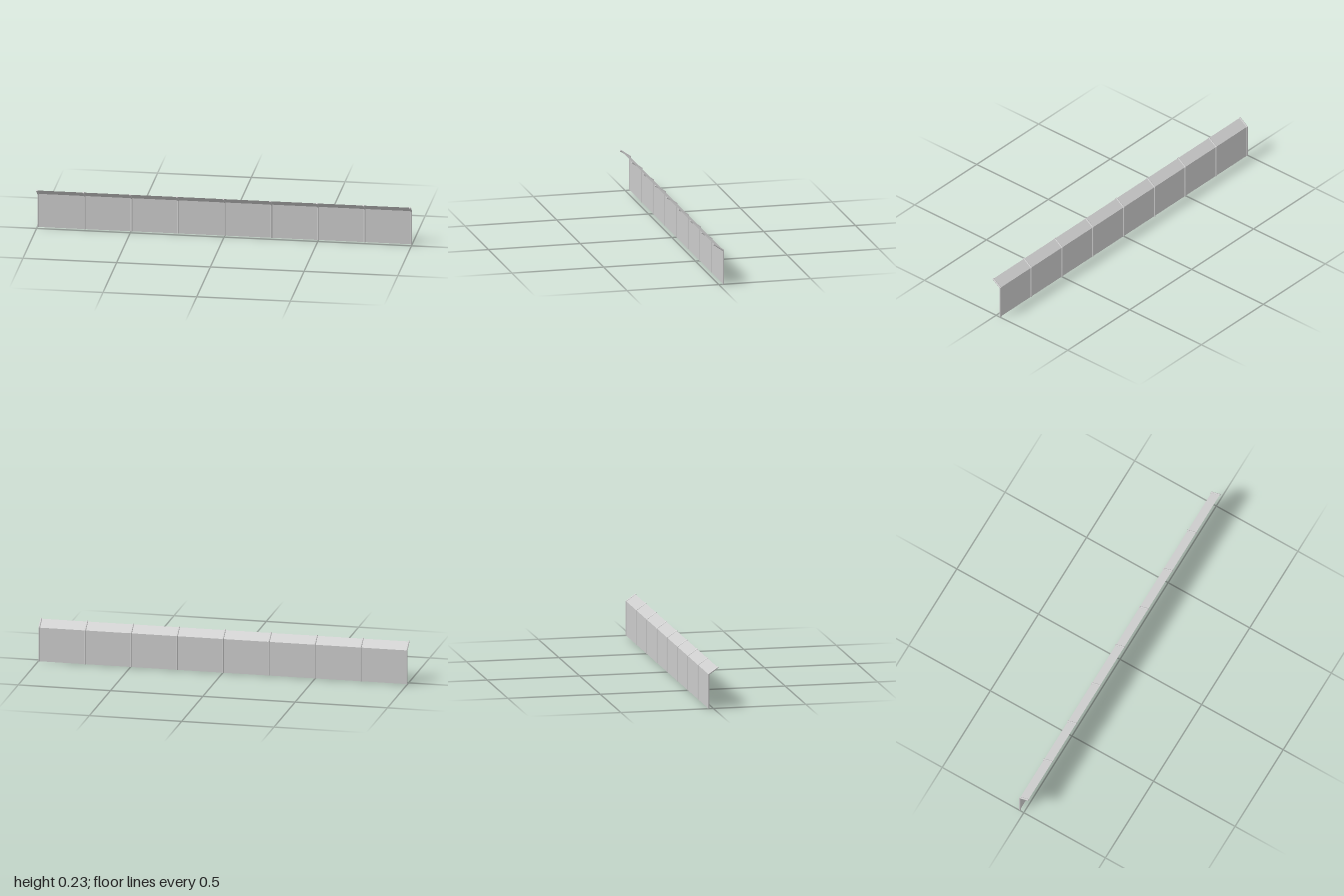
import * as THREE from 'three';
import { toCreasedNormals } from 'three/addons/utils/BufferGeometryUtils.js';

const RADIUS = 0.0048;
const HALF = 1 - RADIUS;
const BAYS = 8;

// Bent side profile: foot, mitred bend, tip. nz/ny is the sideways direction at each station.
const STATIONS = [
  { z: -0.0255, y: 0, nz: 1, ny: 0 },
  { z: -0.0255, y: 0.1845, nz: 1, ny: -0.517 },
  { z: 0.0268, y: 0.2215, nz: 0.579, ny: -0.816 },
];

// Bends a unit-high geometry (two height segments) along the profile
function bend(geometry, stations) {
  const p = geometry.attributes.position;
  for (let i = 0; i < p.count; i++) {
    const s = stations[Math.round((p.getY(i) + 0.5) * 2)];
    const off = p.getZ(i);
    p.setXYZ(i, p.getX(i), s.y + off * s.ny, s.z + off * s.nz);
  }
  return toCreasedNormals(geometry, 0.55);
}

export function createModel() {
  const group = new THREE.Group();
  const postMaterial = new THREE.MeshStandardMaterial({ color: 0xcccccc });
  const sheetMaterial = new THREE.MeshStandardMaterial({ color: 0xcccccc, side: THREE.DoubleSide });

  // Cranked tubular posts
  const postGeometry = bend(new THREE.CylinderGeometry(RADIUS, RADIUS, 1, 12, 2), STATIONS);
  for (let i = 0; i <= BAYS; i++) {
    const post = new THREE.Mesh(postGeometry, postMaterial);
    post.name = 'post' + (i + 1);
    post.position.x = -HALF + (2 * HALF * i) / BAYS;
    group.add(post);
  }

  // Thin fence sheet through the post centres, ending just short of the tips
  const sheetStations = [STATIONS[0], STATIONS[1], { ...STATIONS[2], z: 0.0245, y: 0.22 }];
  const sheet = new THREE.Mesh(
    bend(new THREE.PlaneGeometry(2 * HALF, 1, BAYS, 2), sheetStations),
    sheetMaterial
  );
  sheet.name = 'fenceSheet';
  group.add(sheet);

  return group;
}
